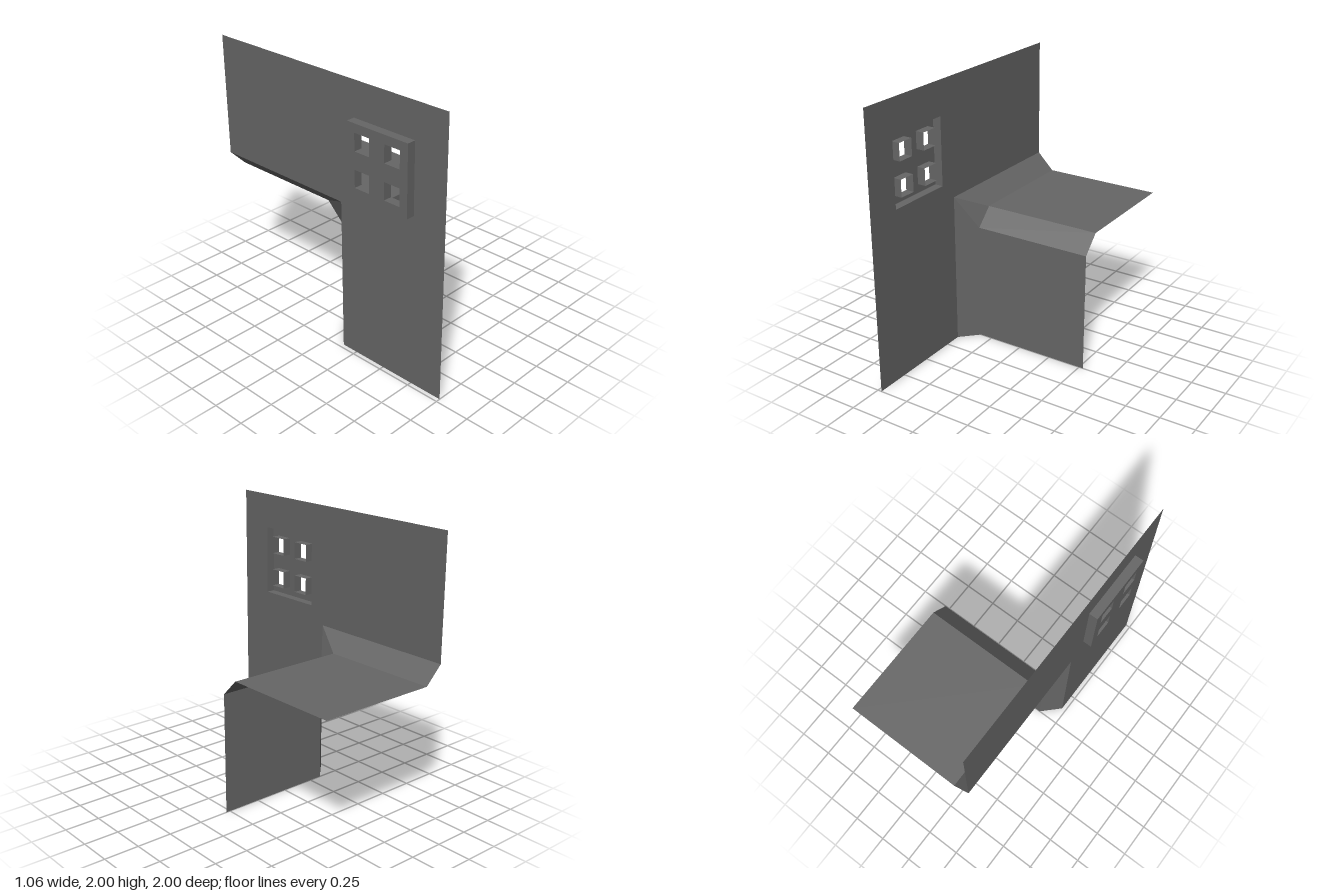
import * as THREE from 'three';

export function createModel() {
  const model = new THREE.Group();
  const grey = new THREE.MeshStandardMaterial({ color: 0x666666, side: THREE.DoubleSide });
  grey.name = 'stone grey';

  const wallX = -0.46875, innerX = -0.34375, endX = 0.53125, depth = 0.0625, b = 0.125;

  const add = (name, geometry, parent = model) => {
    const mesh = new THREE.Mesh(geometry, grey);
    mesh.name = name;
    parent.add(mesh);
    return mesh;
  };

  // Flat convex panel, corners counter-clockwise as seen from its front
  const panel = (name, ...corners) => {
    const points = [];
    for (let i = 1; i < corners.length - 1; i++) points.push(...corners[0], ...corners[i], ...corners[i + 1]);
    const geometry = new THREE.BufferGeometry();
    geometry.setAttribute('position', new THREE.Float32BufferAttribute(points, 3));
    geometry.computeVertexNormals();
    add(name, geometry);
  };

  // Square outline in the side plane, given its lowest z, lowest y and size
  const square = (z, y, s) => [[z, y], [z + s, y], [z + s, y + s], [z, y + s]];

  // Sheet facing +x, drawn in (z, y)
  const sheet = (outline, holes, x) => {
    const toPoints = (list) => list.map(([z, y]) => new THREE.Vector2(-z, y));
    const shape = new THREE.Shape(toPoints(outline));
    holes.forEach((hole) => shape.holes.push(new THREE.Path(toPoints(hole))));
    return new THREE.ShapeGeometry(shape).rotateY(Math.PI / 2).translate(x, 0, 0);
  };

  const frame = square(0.25, 1.25, 0.5);
  const openings = [];
  for (const z of [0.3125, 0.5625]) for (const y of [1.3125, 1.5625]) openings.push(square(z, y, 0.125));

  // Tall side wall with the window cut out
  add('sideWall', sheet([[1, 0], [b, 0], [b, 1 + b], [-1, 1 + b], [-1, 2], [1, 2]], [frame], wallX));

  // Recessed window: back plate, outer rim and four open shafts
  const windowGroup = new THREE.Group();
  windowGroup.name = 'window';
  model.add(windowGroup);
  add('windowPlate', sheet(frame, openings, wallX - depth), windowGroup);
  const sleeve = (name, outline) => {
    outline.forEach(([z0, y0], i) => {
      const [z1, y1] = outline[(i + 1) % 4];
      const length = Math.hypot(z1 - z0, y1 - y0);
      const side = add(name, new THREE.PlaneGeometry(depth, length).rotateX(Math.PI / 2), windowGroup);
      side.position.set(wallX - depth / 2, (y0 + y1) / 2, (z0 + z1) / 2);
      side.rotation.x = -Math.atan2(y1 - y0, z1 - z0);
    });
  };
  sleeve('windowRim', frame);
  openings.forEach((o) => sleeve('windowShaft', o));

  // Ledge and front wall
  panel('ledge', [innerX, 1, -b], [endX, 1, -b], [endX, 1, -1], [innerX, 1, -1]);
  panel('frontWall', [innerX, 0, 0], [endX, 0, 0], [endX, 1 - b, 0], [innerX, 1 - b, 0]);

  // Bevels joining the planes, meeting in a corner triangle
  const corner = [wallX, 1 + b, b];
  panel('ledgeEdgeBevel', [innerX, 1 - b, 0], [endX, 1 - b, 0], [endX, 1, -b], [innerX, 1, -b]);
  panel('ledgeWallBevel', corner, [innerX, 1, -b], [innerX, 1, -1], [wallX, 1 + b, -1]);
  panel('frontWallBevel', [wallX, 0, b], [innerX, 0, 0], [innerX, 1 - b, 0], corner);
  panel('cornerBevel', corner, [innerX, 1 - b, 0], [innerX, 1, -b]);

  return model;
}
